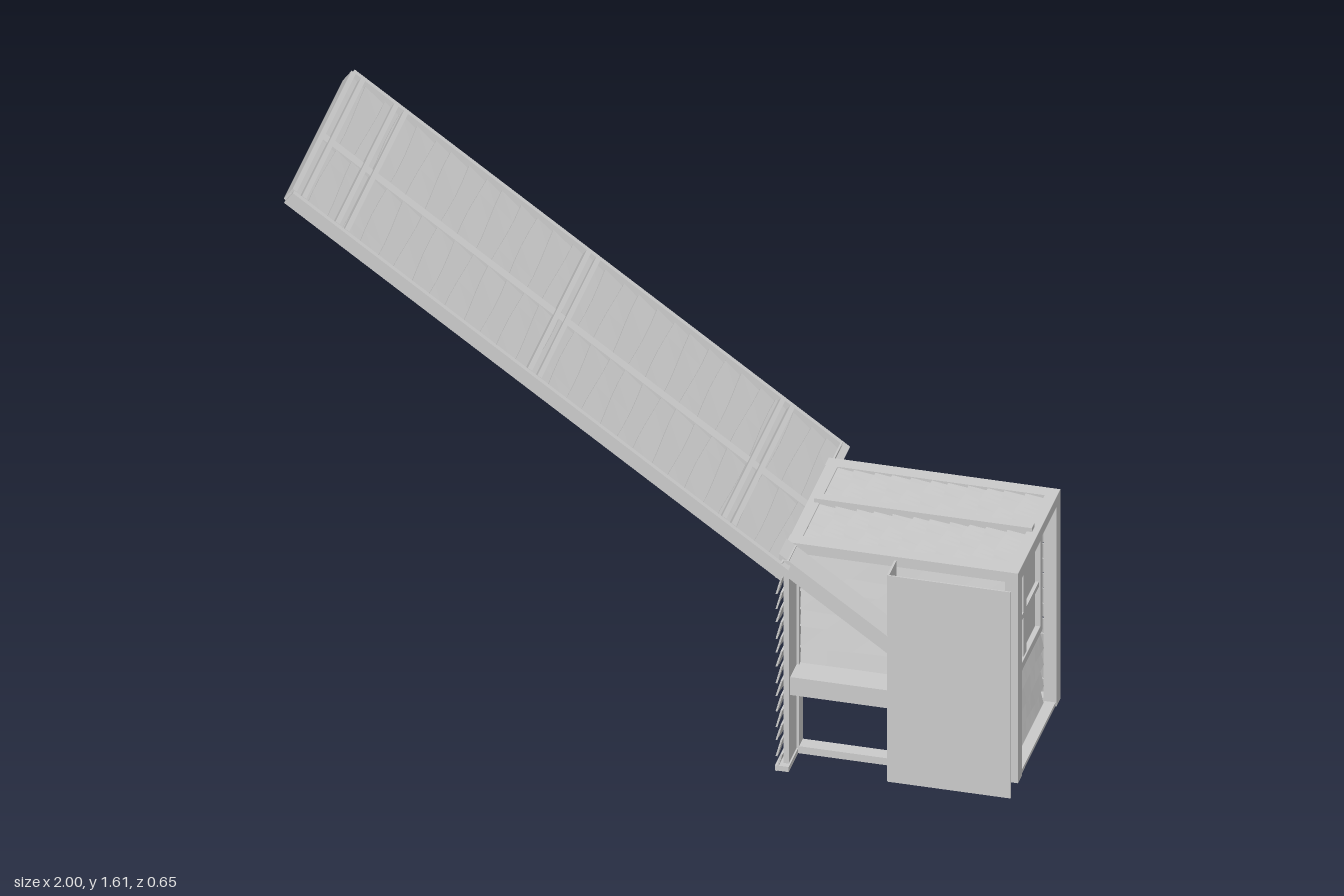
import * as THREE from 'three';

const mat = new THREE.MeshStandardMaterial({ color: 0xcccccc, flatShading: true, side: THREE.DoubleSide });

// Box given by its min and max on each axis
function box(parent, name, x0, x1, y0, y1, z0, z1) {
  const m = new THREE.Mesh(new THREE.BoxGeometry(x1 - x0, y1 - y0, z1 - z0), mat);
  m.position.set((x0 + x1) / 2, (y0 + y1) / 2, (z0 + z1) / 2);
  m.name = name;
  parent.add(m);
  return m;
}

// Overlapping boards with uneven edges, in the local XY plane, facing local +Z.
// across and along are the world directions of the boards' length and of the stack.
function clapboards(parent, name, origin, across, along, width, height, n, depth = 0.012) {
  const g = new THREE.Group();
  g.name = name;
  const pitch = height / n;
  for (let i = 0; i < n; i++) {
    const h = pitch * 1.12, t = 0.005;
    const geo = new THREE.BoxGeometry(width, h, t, 8, 1, 1);
    const p = geo.attributes.position;
    for (let k = 0; k < p.count; k++) {
      const x = p.getX(k), low = p.getY(k) < 0;
      if (low) {
        p.setY(k, p.getY(k) + pitch * 0.08 * Math.sin(x / width * 7 + i * 2.3));
        p.setZ(k, p.getZ(k) + depth);
      }
    }
    geo.computeVertexNormals();
    const m = new THREE.Mesh(geo, mat);
    m.name = 'board';
    m.position.y = -height / 2 + pitch * (i + 0.5);
    g.add(m);
  }
  const X = new THREE.Vector3(...across), Y = new THREE.Vector3(...along);
  g.applyMatrix4(new THREE.Matrix4().makeBasis(X, Y, X.clone().cross(Y)));
  g.position.set(...origin);
  parent.add(g);
}

function buildShed() {
  const g = new THREE.Group();
  g.name = 'shed';

  // Corner posts and top and bottom rails
  for (const s of [-1, 1]) {
    const z0 = s < 0 ? -0.222 : 0.182, z1 = z0 + 0.04;
    box(g, 'cornerPost', 0.962, 0.998, 0, 0.65, z0, z1);
    box(g, 'doorPost', 0.362, 0.395, 0, 0.65, z0, z1);
    box(g, 'topRail', 0.36, 0.998, 0.625, 0.656, z0, z1);
    box(g, 'sill', 0.36, 0.998, 0, 0.022, z0, z1);
  }
  for (const x of [0.362, 0.965]) box(g, 'crossRail', x, x + 0.033, 0.625, 0.656, -0.22, 0.22);
  box(g, 'sideSill', 0.965, 0.995, 0, 0.012, -0.2, 0.2);

  // Back wall with a central batten
  clapboards(g, 'backSiding', [0.68, 0.325, -0.202], [-1, 0, 0], [0, 1, 0], 0.57, 0.61, 13, 0.014);
  box(g, 'backBatten', 0.665, 0.695, 0.02, 0.64, -0.224, -0.2);

  // Roof boards with a central batten
  for (const z of [-0.098, 0.094])
    clapboards(g, 'roofBoards', [0.68, 0.643, z], [0, 0, 1], [1, 0, 0], 0.17, 0.57, 11, 0.008);
  box(g, 'roofBatten', 0.38, 0.98, 0.635, 0.668, -0.02, 0.008);

  // Front: upper boarding above a ledge, open below
  clapboards(g, 'frontSiding', [0.68, 0.45, 0.198], [1, 0, 0], [0, 1, 0], 0.57, 0.35, 6, 0.012);
  box(g, 'ledge', 0.37, 0.66, 0.222, 0.278, 0.19, 0.29);

  // Right wall with its window
  const wx = 0.945;
  clapboards(g, 'lowerSideSiding', [wx, 0.125, 0], [0, 0, -1], [0, 1, 0], 0.365, 0.24, 4, 0.016);
  clapboards(g, 'upperSideSiding', [wx, 0.598, 0], [0, 0, -1], [0, 1, 0], 0.365, 0.09, 2, 0.012);
  const win = new THREE.Group();
  win.name = 'window';
  box(win, 'glassPanel', wx - 0.006, wx + 0.004, 0.255, 0.545, -0.15, 0.15);
  for (const s of [-1, 1]) {
    box(win, 'jamb', wx - 0.01, wx + 0.018, 0.245, 0.555, s * 0.157 - 0.012, s * 0.157 + 0.012);
    box(win, 'sideTrim', wx - 0.01, wx + 0.01, 0.245, 0.555, s * 0.176 - 0.007, s * 0.176 + 0.007);
    box(win, 'windowRail', wx - 0.01, wx + 0.018, 0.4 + s * 0.145 - 0.012, 0.4 + s * 0.145 + 0.012, -0.165, 0.165);
  }
  box(win, 'mullion', wx - 0.01, wx + 0.014, 0.255, 0.545, -0.014, 0.014);
  box(win, 'transom', wx - 0.01, wx + 0.014, 0.39, 0.406, -0.15, 0.15);
  g.add(win);
  return g;
}

// Boarded wings on both sides of the open end
function buildWings() {
  const g = new THREE.Group();
  g.name = 'wings';
  for (const s of [-1, 1]) {
    const z = s * 0.262;
    clapboards(g, 'wingSiding', [0.372, 0.325, z], [0, 0, 1], [0, 1, 0], 0.118, 0.645, 14, 0.014);
    box(g, 'wingFoot', 0.354, 0.392, 0, 0.016, z - 0.06, z + 0.06);
  }
  box(g, 'wingBacking', 0.374, 0.388, 0, 0.65, 0.22, 0.305);
  return g;
}

// Thin screen standing in front, with its return edge and a sloping brace
function buildScreen() {
  const g = new THREE.Group();
  g.name = 'frontScreen';
  box(g, 'screenPanel', 0.66, 0.998, 0, 0.645, 0.298, 0.302);
  box(g, 'screenReturn', 0.657, 0.663, 0, 0.645, 0.22, 0.3);
  const y = x => 0.895 - 0.709 * x;
  const shape = new THREE.Shape([[0.36, -1], [0.662, -1], [0.662, 1], [0.36, 1]]
    .map(([x, s]) => new THREE.Vector2(x, y(x) + s * 0.027)));
  const brace = new THREE.Mesh(new THREE.ExtrudeGeometry(shape, { depth: 0.08, bevelEnabled: false }), mat);
  brace.position.z = 0.222;
  brace.name = 'brace';
  g.add(brace);
  return g;
}

// Long raised deck: rails, ribs and boards
function buildDeck() {
  const g = new THREE.Group();
  g.name = 'slopingDeck';
  const L = 1.673, h = 0.021;
  for (const s of [-1, 1]) box(g, 'sideRail', -L / 2, L / 2, -h, h, s * 0.318 - 0.007, s * 0.318 + 0.007);
  clapboards(g, 'deckBoards', [0, -0.005, 0], [0, 0, 1], [1, 0, 0], 0.63, L, 29, 0.01);
  // Ribs in close pairs across the deck, given by world x
  for (const x of [-0.968, -0.85, -0.32, 0.215]) {
    const u = (x + 0.3025) / Math.cos(Math.atan(0.709));
    for (const d of [-0.02, 0.012]) box(g, 'crossRib', u + d - 0.007, u + d + 0.007, -h, h + 0.001, -0.31, 0.31);
  }
  box(g, 'centreRail', -L / 2, L / 2, -h, 0.009, -0.015, 0.015);
  box(g, 'lowerEndRail', L / 2 - 0.02, L / 2, -h, h, -0.315, 0.315);
  g.rotation.z = -Math.atan(0.709);
  g.position.set(-0.3025, 1.1, 0);
  return g;
}

export function createModel() {
  const model = new THREE.Group();
  model.name = 'shedWithSlopingDeck';
  model.add(buildShed(), buildWings(), buildScreen(), buildDeck());
  return model;
}
